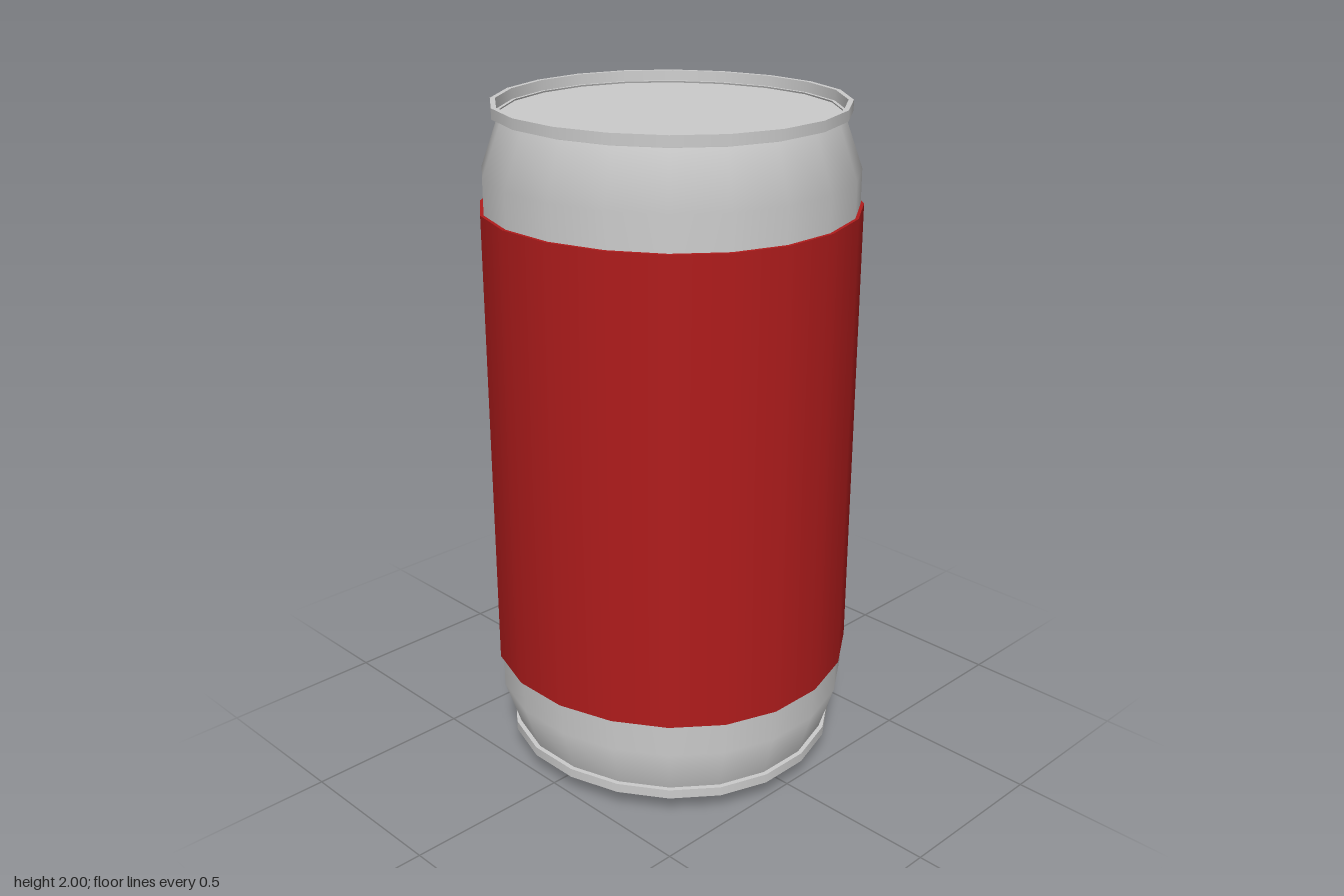
import * as THREE from 'three';

const SIDES = 20;
const START = Math.PI / SIDES; // flat sides face the axes

// Turns a bottom-to-top outline, smooth around and along it
function turned(name, outline, color = 0xcccccc) {
  const points = outline.map(([r, y]) => new THREE.Vector2(r, y));
  const geometry = new THREE.LatheGeometry(points, SIDES, START);
  geometry.scale(1.009, 1, 0.991);
  // Slight skew of the ring toward its left and right sides
  const p = geometry.attributes.position;
  for (let i = 0; i < p.count; i++) {
    p.setZ(i, p.getZ(i) + 0.2 * p.getX(i) ** 3);
  }
  const material = new THREE.MeshStandardMaterial({ color, side: THREE.DoubleSide });
  const mesh = new THREE.Mesh(geometry, material);
  mesh.name = name;
  return mesh;
}

// Turns each straight run of an outline separately, so its corners stay sharp
function turnedSharp(name, outline, color) {
  const group = new THREE.Group();
  group.name = name;
  for (let i = 0; i < outline.length - 1; i++) {
    group.add(turned(name + 'Face' + (i + 1), [outline[i], outline[i + 1]], color));
  }
  return group;
}

export function createModel() {
  const can = new THREE.Group();
  can.name = 'drinkCan';

  // Body with tapered shoulders
  can.add(turned('body', [[0.495, 0.085], [0.543, 0.23], [0.543, 1.81], [0.483, 1.97]]));

  // Wrapped label, standing just proud of the body
  can.add(turnedSharp('label', [[0.543, 0.33], [0.553, 0.33], [0.553, 1.71], [0.543, 1.71]], 0xb01c1c));

  // Top rim and recessed lid
  can.add(turnedSharp('topRim', [[0.483, 1.97], [0.51, 1.97], [0.51, 2], [0.495, 2], [0.493, 1.965]]));
  can.add(turned('lid', [[0.493, 1.965], [0, 1.965]]));

  // Bottom rim, sloping foot and recessed base
  can.add(turnedSharp('bottomRim', [[0.5, 0.06], [0.51, 0.06], [0.51, 0.088], [0.495, 0.088]]));
  can.add(turnedSharp('foot', [[0.395, 0.022], [0.4, 0], [0.408, 0], [0.5, 0.06]]));
  can.add(turned('base', [[0, 0.022], [0.395, 0.022]]));

  return can;
}
